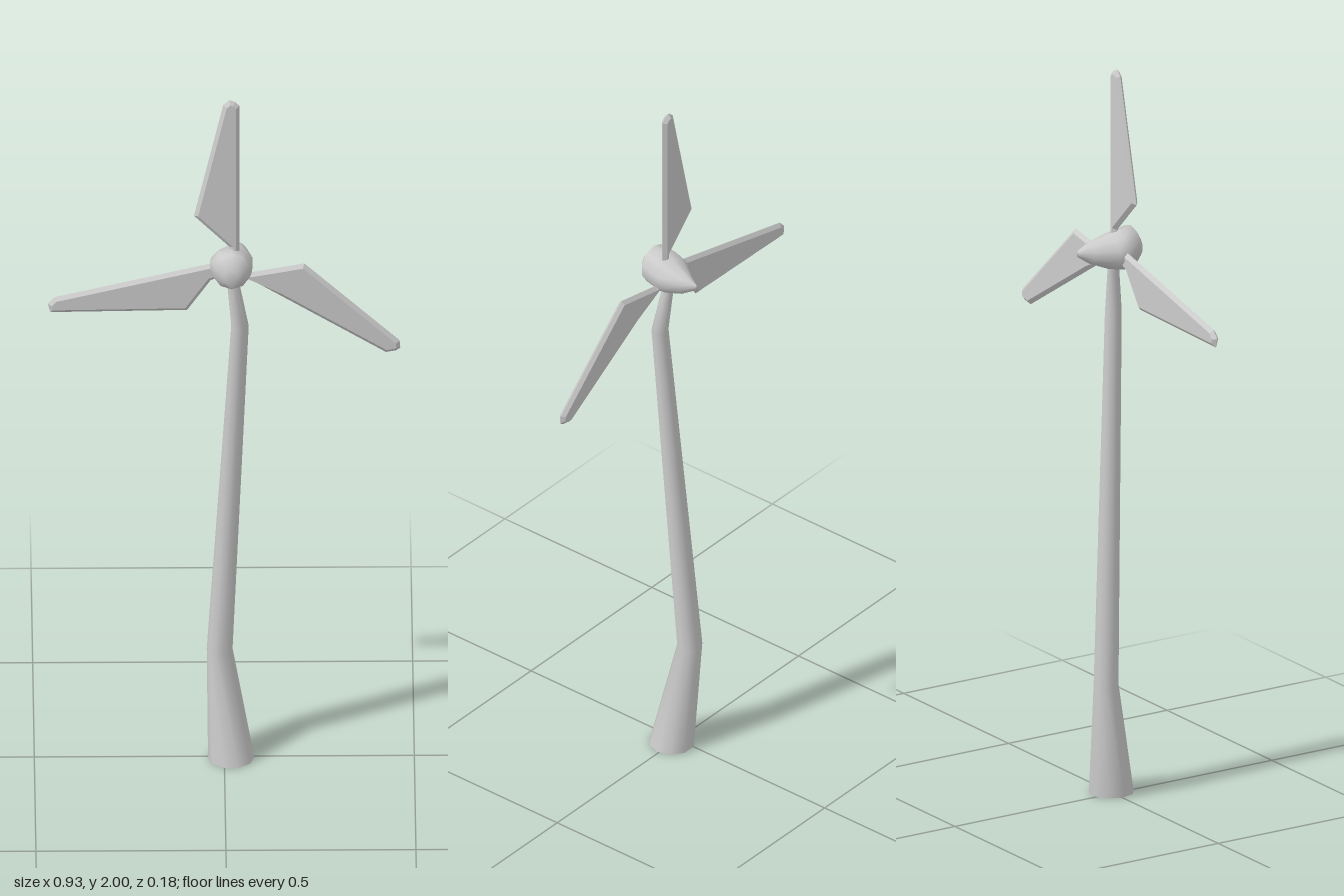
import * as THREE from 'three';

const makeMaterial = (side = THREE.FrontSide) => new THREE.MeshStandardMaterial({ color: 0xcccccc, side });

// Skin over a list of rings (each an array of [x, y, z]), wound counter-clockwise along the path
function loft(rings, capped) {
  const n = rings[0].length;
  const points = rings.flat();
  const index = [];
  for (let i = 0; i < rings.length - 1; i++) {
    for (let j = 0; j < n; j++) {
      const a = i * n + j, b = i * n + (j + 1) % n;
      index.push(a, b, a + n, b, b + n, a + n);
    }
  }
  if (capped) {
    const last = (rings.length - 1) * n;
    for (let j = 1; j < n - 1; j++) {
      index.push(0, j + 1, j);
      index.push(last, last + j, last + j + 1);
    }
  }
  const geometry = new THREE.BufferGeometry();
  geometry.setAttribute('position', new THREE.Float32BufferAttribute(points.flat(), 3));
  geometry.setIndex(index);
  geometry.computeVertexNormals();
  return geometry;
}

function ring(sides, pointAt) {
  return Array.from({ length: sides }, (_, j) => {
    const a = (j / sides) * Math.PI * 2;
    return pointAt(Math.cos(a), Math.sin(a));
  });
}

export function createModel() {
  const group = new THREE.Group();
  const add = (name, geometry, material) => {
    const mesh = new THREE.Mesh(geometry, material);
    mesh.name = name;
    group.add(mesh);
    return mesh;
  };

  // Crooked hollow tower: y, centre x, centre z, radius
  const towerSections = [
    [0, 0.018, 0.005, 0.061],
    [0.31, -0.012, -0.031, 0.034],
    [1.32, 0.041, 0.027, 0.023],
    [1.48, 0.018, 0.012, 0.014],
  ];
  add('tower', loft(towerSections.map(([y, x, z, r]) =>
    ring(10, (c, s) => [x + r * c, y, z - r * s])), false), makeMaterial(THREE.DoubleSide));

  // Teardrop housing, from the rear point to the blunt nose: z, centre x, centre y, half width, half height
  const housingSections = [
    [-0.09, 0.034, 1.502, 0.004, 0.008],
    [-0.055, 0.034, 1.498, 0.027, 0.028],
    [0, 0.02, 1.496, 0.057, 0.048],
    [0.025, 0.017, 1.497, 0.058, 0.054],
    [0.067, 0.019, 1.506, 0.05, 0.053],
    [0.09, 0.018, 1.497, 0.022, 0.028],
  ];
  add('housing', loft(housingSections.map(([z, x, y, w, h]) =>
    ring(10, (c, s) => [x + w * s, y - h * c, z])), true), makeMaterial());

  // Three irregular blades, each a flat outline with a sharp bevelled rim
  const blades = {
    topBlade: [[0.04, 1.51], [0.04, 1.982], [0.028, 1.994], [0.013, 2], [-0.003, 1.985],
      [-0.08, 1.65], [0.014, 1.555], [0.014, 1.51]],
    rightBlade: [[0, 1.51], [-0.04, 1.504], [-0.447, 1.405], [-0.465, 1.385], [-0.458, 1.36],
      [-0.098, 1.365], [-0.036, 1.455], [0, 1.47]],
    leftBlade: [[0.02, 1.48], [0.07, 1.478], [0.21, 1.504], [0.461, 1.27], [0.463, 1.248],
      [0.452, 1.24], [0.425, 1.235], [0.06, 1.462]],
  };
  for (const [name, outline] of Object.entries(blades)) {
    const shape = new THREE.Shape(outline.map(([x, y]) => new THREE.Vector2(x, y)));
    const geometry = new THREE.ExtrudeGeometry(shape, {
      depth: 0.001, bevelEnabled: true, bevelSegments: 1,
      bevelThickness: 0.009, bevelSize: 0.01, bevelOffset: -0.01,
    });
    add(name, geometry, makeMaterial()).position.z = 0.02;
  }

  return group;
}
